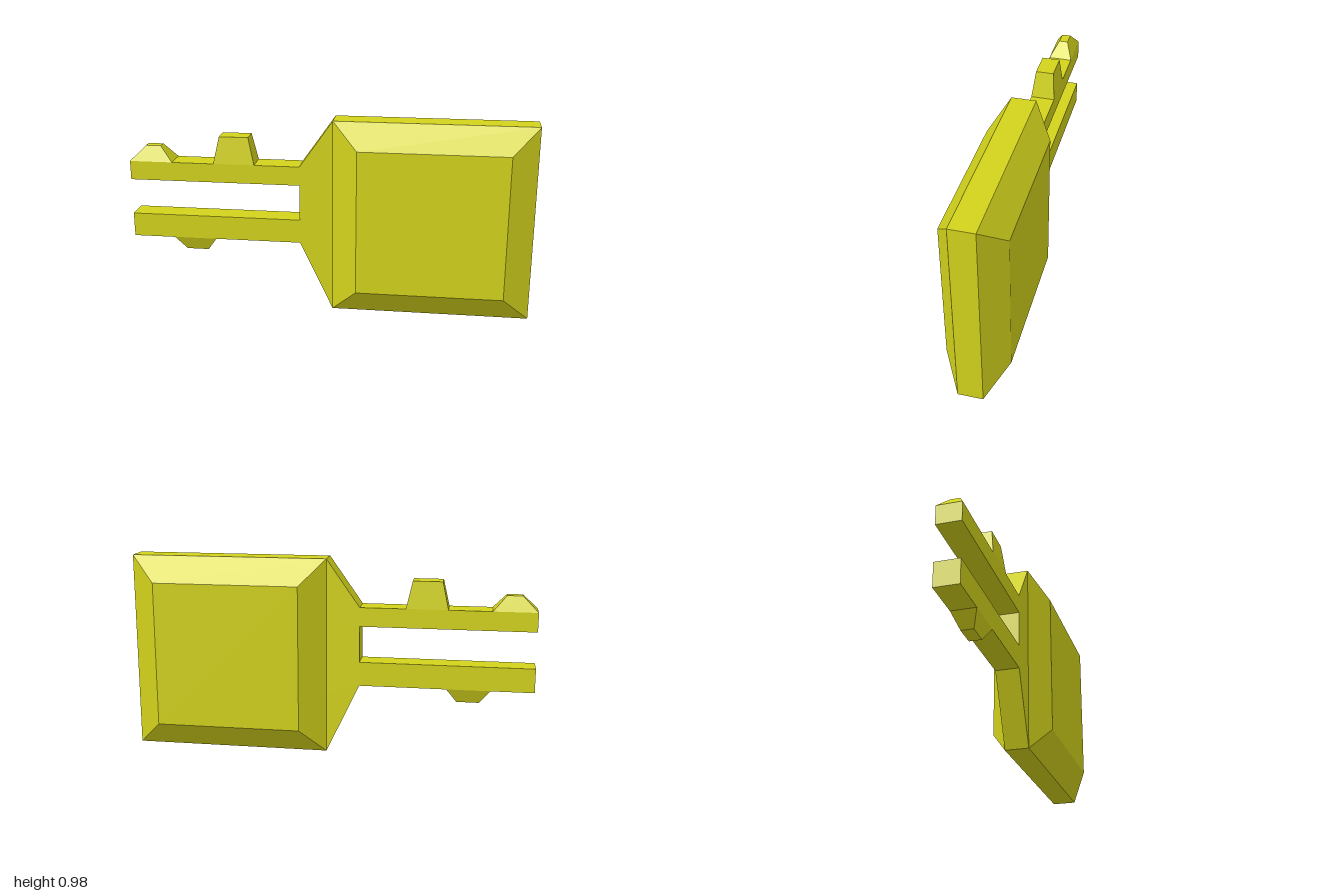
import * as THREE from 'three';

const BACK = -0.055, FRONT = 0.065; // faces of the flat plate

// Box whose two ends along an axis are separate rectangles, each [min corner, max corner]
function frustum(axis, low, high) {
  const geo = new THREE.BoxGeometry(2, 2, 2);
  const pos = geo.attributes.position;
  for (let i = 0; i < pos.count; i++) {
    const s = [pos.getX(i), pos.getY(i), pos.getZ(i)];
    const end = s[axis] > 0 ? high : low;
    pos.setXYZ(i, ...s.map((v, k) => end[v > 0 ? 1 : 0][k]));
  }
  geo.computeVertexNormals();
  return geo;
}

export function createModel() {
  const group = new THREE.Group();
  group.name = 'forkedKey';
  const material = new THREE.MeshStandardMaterial({ color: 0xd2d21c, flatShading: true });
  const add = (name, geo) => {
    const mesh = new THREE.Mesh(geo, material);
    mesh.name = name;
    group.add(mesh);
  };

  // Flat plate: handle core, tapered neck and two prongs
  const outline = [
    [1, 0], [1, 0.98], [0.02, 0.98], [-0.145, 0.745], [-1, 0.745], [-1, 0.65],
    [-0.145, 0.65], [-0.145, 0.47], [-1, 0.47], [-1, 0.35], [-0.145, 0.35], [0.02, 0],
  ].map(([x, y]) => new THREE.Vector2(x, y));
  const plate = new THREE.ExtrudeGeometry(new THREE.Shape(outline), {
    depth: FRONT - BACK, bevelEnabled: false,
  });
  plate.translate(0, 0, BACK);
  add('plate', plate);

  // Bevelled grips on both faces of the handle
  const wide = (z) => [[0.02, 0, z], [1, 0.98, z]];
  const narrow = (z) => [[0.145, 0.13, z], [0.87, 0.855, z]];
  add('frontGrip', frustum(2, wide(FRONT), narrow(0.153)));
  add('backGrip', frustum(2, narrow(-0.153), wide(BACK)));

  // Tapered teeth on the outer edges of the prongs
  const teeth = [
    { name: 'tipTooth', base: [-1, -0.785, 0.745], top: [-0.925, -0.85, 0.818], z: [-0.02, 0.025] },
    { name: 'tallTooth', base: [-0.575, -0.37, 0.745], top: [-0.545, -0.4, 0.88], z: [-0.042, 0.048] },
    { name: 'lowerTooth', base: [-0.79, -0.575, 0.35], top: [-0.735, -0.625, 0.28], z: [-0.025, 0.035] },
  ];
  for (const { name, base, top, z } of teeth) {
    const root = [[base[0], base[2], BACK], [base[1], base[2], FRONT]];
    const crest = [[top[0], top[2], z[0]], [top[1], top[2], z[1]]];
    add(name, top[2] > base[2] ? frustum(1, root, crest) : frustum(1, crest, root));
  }
  return group;
}
